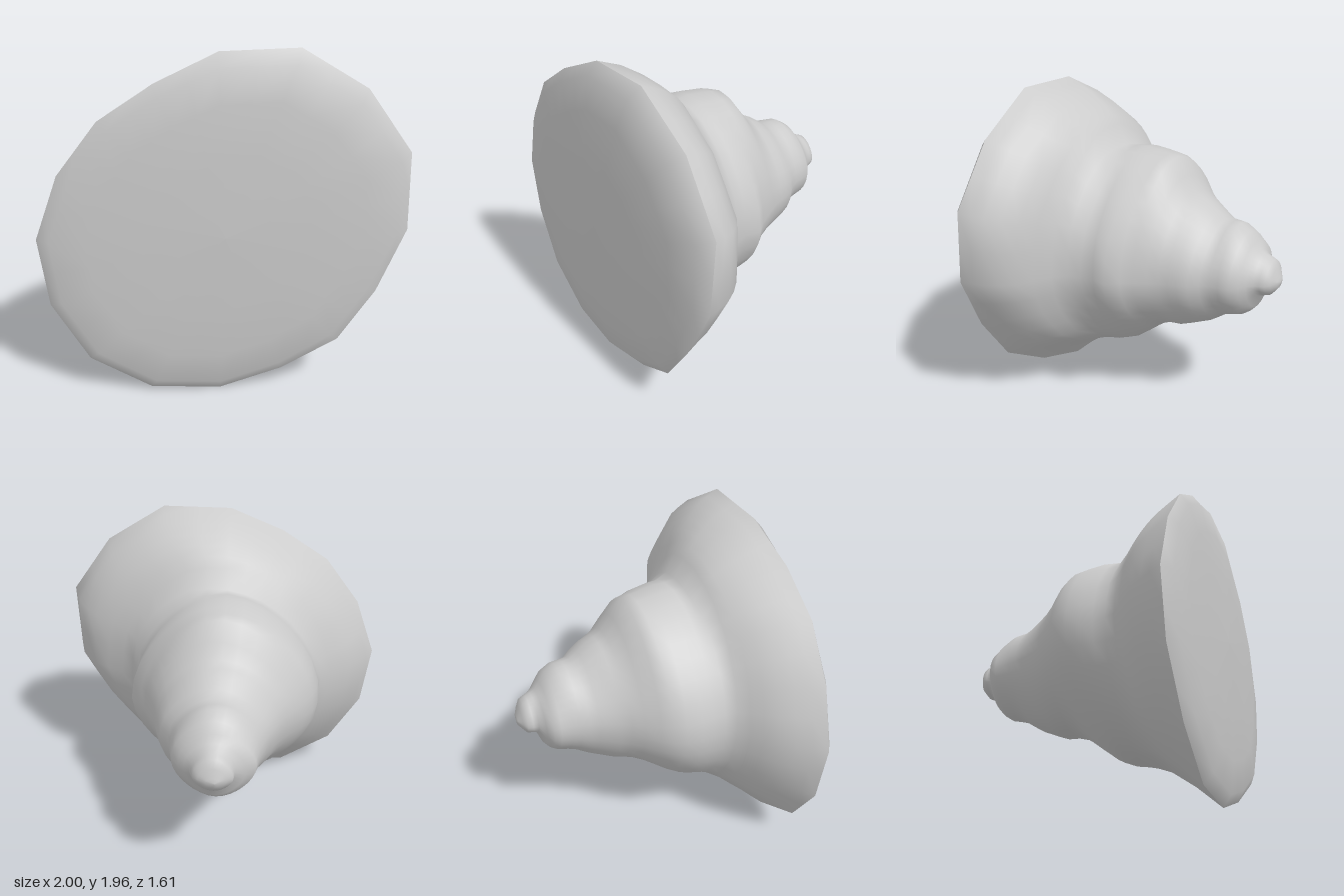
import * as THREE from 'three';

const SEG = 32, MID = 0.98, RIM_Z = 0.69;
const { lerp, mapLinear, smoothstep } = THREE.MathUtils;

// Wavy rim corners [x, y, z], counter-clockwise seen from the front
const RIM = [[1, 0.96, 0.7], [1, 1.39, 0.665], [0.75, 1.74, 0.66], [0.39, 1.96, 0.675], [-0.03, 1.95, 0.69], [-0.36, 1.8, 0.725],
  [-0.65, 1.61, 0.73], [-0.87, 1.32, 0.72], [-1, 0.96, 0.71], [-0.95, 0.57, 0.71], [-0.75, 0.23, 0.72], [-0.41, 0.02, 0.71],
  [-0.02, 0, 0.71], [0.33, 0.12, 0.715], [0.64, 0.31, 0.735], [0.84, 0.61, 0.735]];

// Four stepped whorl profiles along the axis, as [z, position]
const TOP = [[0.69, 1.96], [0.55, 1.9], [0.42, 1.81], [0.32, 1.71], [0.26, 1.59], [0.12, 1.6], [-0.1, 1.57], [-0.23, 1.38],
  [-0.33, 1.33], [-0.44, 1.25], [-0.54, 1.25], [-0.6, 1.21], [-0.67, 1.11], [-0.76, 1.07], [-0.8, 0.97]];
const BOTTOM = [[0.69, 0], [0.55, 0.13], [0.42, 0.23], [0.3, 0.28], [0.17, 0.31], [0.08, 0.36], [0, 0.44], [-0.13, 0.53],
  [-0.24, 0.53], [-0.4, 0.6], [-0.5, 0.67], [-0.62, 0.7], [-0.68, 0.77], [-0.7, 0.84], [-0.76, 0.86], [-0.8, 0.91]];
const LOW_X = [[0.69, -1], [0.6, -0.94], [0.48, -0.84], [0.4, -0.74], [0.32, -0.64], [0.24, -0.61], [0.12, -0.62], [0, -0.6],
  [-0.07, -0.56], [-0.25, -0.4], [-0.4, -0.32], [-0.55, -0.27], [-0.65, -0.25], [-0.69, -0.14], [-0.76, -0.13], [-0.8, -0.06]];
const HIGH_X = [[0.69, 1], [0.52, 0.95], [0.4, 0.83], [0.34, 0.69], [0.28, 0.59], [0.12, 0.53], [0.03, 0.55], [-0.05, 0.48],
  [-0.22, 0.38], [-0.38, 0.33], [-0.46, 0.26], [-0.6, 0.23], [-0.7, 0.12], [-0.77, 0.09], [-0.8, 0.02]];

// Quadrants between a side and an upright profile; sutures pair the grooves
// [side z, upright z] that run into each other around the axis
const QUADRANTS = [
  { side: HIGH_X, upright: TOP, sutures: [[0.69, 0.69], [0.2, 0.26], [-0.46, -0.44], [-0.69, -0.67], [-0.8, -0.8]] },
  { side: LOW_X, upright: TOP, sutures: [[0.69, 0.69], [0.29, 0.26], [-0.28, -0.36], [-0.68, -0.67], [-0.8, -0.8]] },
  { side: LOW_X, upright: BOTTOM, sutures: [[0.69, 0.69], [0.29, 0.3], [-0.28, -0.24], [-0.68, -0.69], [-0.8, -0.8]] },
  { side: HIGH_X, upright: BOTTOM, sutures: [[0.69, 0.69], [0.28, 0.26], [-0.46, -0.48], [-0.69, -0.69], [-0.8, -0.8]] },
];

function sample(profile, z) {
  for (let i = 1; i < profile.length; i++) {
    const [za, a] = profile[i - 1], [zb, b] = profile[i];
    if (z >= zb) return mapLinear(z, za, zb, a, b);
  }
  return profile[profile.length - 1][1];
}

// Rim direction number j, with midpoints between the corners
function rimPoint(j) {
  const a = RIM[j >> 1], b = RIM[((j + 1) >> 1) % RIM.length];
  return [(a[0] + b[0]) / 2, (a[1] + b[1]) / 2 - MID, (a[2] + b[2]) / 2 - RIM_Z];
}

// Cross-section whose outline changes from the rim shape to whorls that are
// slightly flattened on the diagonals
function bodyRing(z) {
  const w = smoothstep(z, 0, RIM_Z);
  const axisX = -0.02 * (1 - w), axisY = lerp(0.95, MID, w);
  return Array.from({ length: SEG }, (_, j) => {
    const [x, y, dz] = rimPoint(j), a = Math.atan2(y, x);
    const { side, upright, sutures } = QUADRANTS[y >= 0 ? (x >= 0 ? 0 : 1) : (x < 0 ? 2 : 3)];
    const t = Math.atan2(Math.abs(y), Math.abs(x)) / (Math.PI / 2);
    const knots = sutures.map(([s, u]) => lerp(s, u, t));
    const sideZ = sample(knots.map((k, i) => [k, sutures[i][0]]), z);
    const uprightZ = sample(knots.map((k, i) => [k, sutures[i][1]]), z);
    const rx = Math.abs(sample(side, sideZ) - axisX), ry = Math.abs(sample(upright, uprightZ) - axisY);
    const flat = 1 - 0.045 * Math.sin(2 * a) ** 2;
    const nx = lerp(Math.cos(a) * flat, x, w), ny = lerp(Math.sin(a) * flat, y / MID, w);
    return [axisX + nx * rx, axisY + ny * ry, z + w * dz];
  });
}

// Scaled copy of the rim for the shallow front face
function faceRing(scale, z, wave) {
  return Array.from({ length: SEG }, (_, j) => {
    const [x, y, dz] = rimPoint(j);
    return [x * scale, MID + y * scale, z + wave * dz];
  });
}

// Skin a list of closed rings
function skin(name, rings) {
  const index = [];
  for (let i = 0; i < rings.length - 1; i++) {
    for (let j = 0; j < SEG; j++) {
      const k = (j + 1) % SEG;
      const a = i * SEG + j, b = i * SEG + k, c = a + SEG, d = b + SEG;
      index.push(a, c, b, b, c, d);
    }
  }
  const geo = new THREE.BufferGeometry();
  geo.setAttribute('position', new THREE.Float32BufferAttribute(rings.flat(2), 3));
  geo.setIndex(index);
  geo.computeVertexNormals();
  const mesh = new THREE.Mesh(geo, new THREE.MeshStandardMaterial({ color: 0xcccccc }));
  mesh.name = name;
  return mesh;
}

export function createModel() {
  const group = new THREE.Group();
  group.name = 'spiralShell';

  // Spiral whorls narrowing to the tip at the back
  const stations = [0.69, 0.62, 0.55, 0.48, 0.42, 0.37, 0.32, 0.26, 0.19, 0.12, 0.03, -0.04, -0.1, -0.17, -0.23,
    -0.28, -0.33, -0.39, -0.44, -0.49, -0.54, -0.6, -0.64, -0.67, -0.7, -0.73, -0.76, -0.78, -0.8];
  const tip = Array.from({ length: SEG }, () => [-0.03, 0.94, -0.805]);
  group.add(skin('whorls', [...stations.map(bodyRing), tip]));

  // Nearly flat base with a bevelled rim
  group.add(skin('base', [faceRing(0, 0.803, 0), faceRing(0.45, 0.795, 0), faceRing(0.74, 0.779, 0.1),
    faceRing(0.93, 0.75, 0.4), faceRing(1, RIM_Z, 1)]));
  return group;
}
